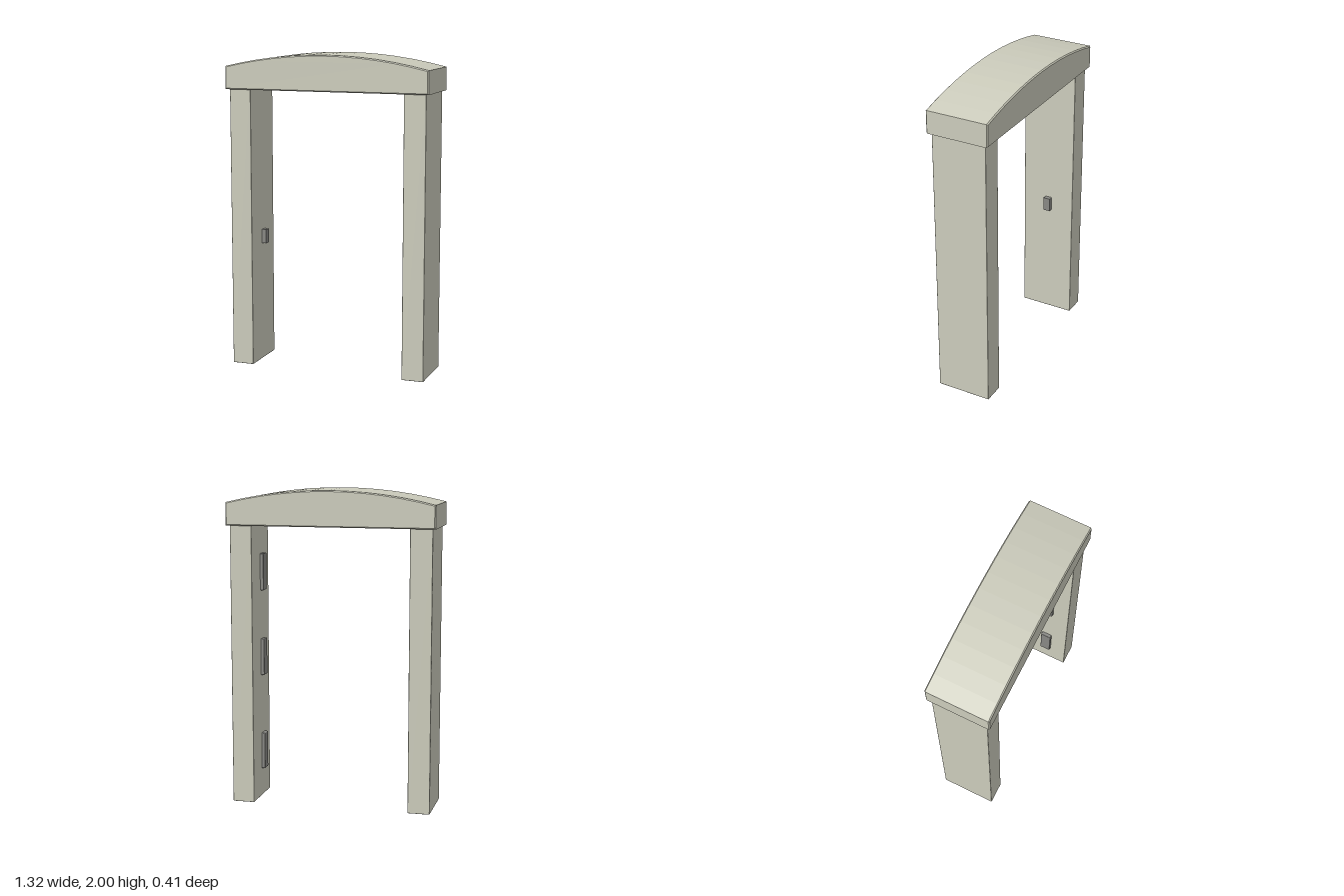
import * as THREE from 'three';
import { RoundedBoxGeometry } from 'three/addons/geometries/RoundedBoxGeometry.js';

const frameMat = new THREE.MeshStandardMaterial({ color: 0xccccbc });
const hardwareMat = new THREE.MeshStandardMaterial({ color: 0x888884 });

// Box with slightly eased edges, given by its min and max corners
function easedBox(name, min, max, radius, material) {
  const size = max.map((v, i) => v - min[i]);
  const mesh = new THREE.Mesh(new RoundedBoxGeometry(...size, 1, radius), material);
  mesh.position.set(...max.map((v, i) => (v + min[i]) / 2));
  mesh.name = name;
  return mesh;
}

// Beam with a flat underside and a shallow arched top
function lintel() {
  const half = 0.66, bottom = 1.775, shoulder = 1.92, top = 2;
  const rise = top - shoulder;
  const radius = (half * half + rise * rise) / (2 * rise);
  const angle = Math.asin(half / radius);
  const shape = new THREE.Shape();
  shape.moveTo(-half, bottom);
  shape.lineTo(half, bottom);
  shape.lineTo(half, shoulder);
  shape.absarc(0, top - radius, radius, Math.PI / 2 - angle, Math.PI / 2 + angle, false);
  shape.closePath();

  const bevel = 0.007, depth = 0.406;
  const geometry = new THREE.ExtrudeGeometry(shape, {
    depth: depth - 2 * bevel,
    curveSegments: 6,
    bevelThickness: bevel,
    bevelSize: bevel,
    bevelOffset: -bevel,
    bevelSegments: 1,
  });
  geometry.translate(0, 0, bevel - depth / 2);
  const mesh = new THREE.Mesh(geometry, frameMat);
  mesh.name = 'archedLintel';
  return mesh;
}

export function createModel() {
  const group = new THREE.Group();
  group.name = 'doorFrame';

  // Side posts
  group.add(easedBox('leftPost', [0.5, 0, -0.178], [0.64, 1.78, 0.178], 0.004, frameMat));
  group.add(easedBox('rightPost', [-0.64, 0, -0.178], [-0.5, 1.78, 0.178], 0.004, frameMat));
  group.add(lintel());

  // Hinges on the inside of the left post
  ['lowerHinge', 'middleHinge', 'upperHinge'].forEach((name, i) => {
    const y = [0.18, 0.8, 1.35][i];
    group.add(easedBox(name, [0.478, y, 0], [0.51, y + 0.236, 0.07], 0.005, hardwareMat));
  });

  // Latch on the inside of the right post
  const latch = new THREE.Mesh(new THREE.BoxGeometry(0.045, 0.09, 0.045), hardwareMat);
  latch.position.set(-0.4925, 0.815, -0.003);
  latch.name = 'latch';
  group.add(latch);

  return group;
}
